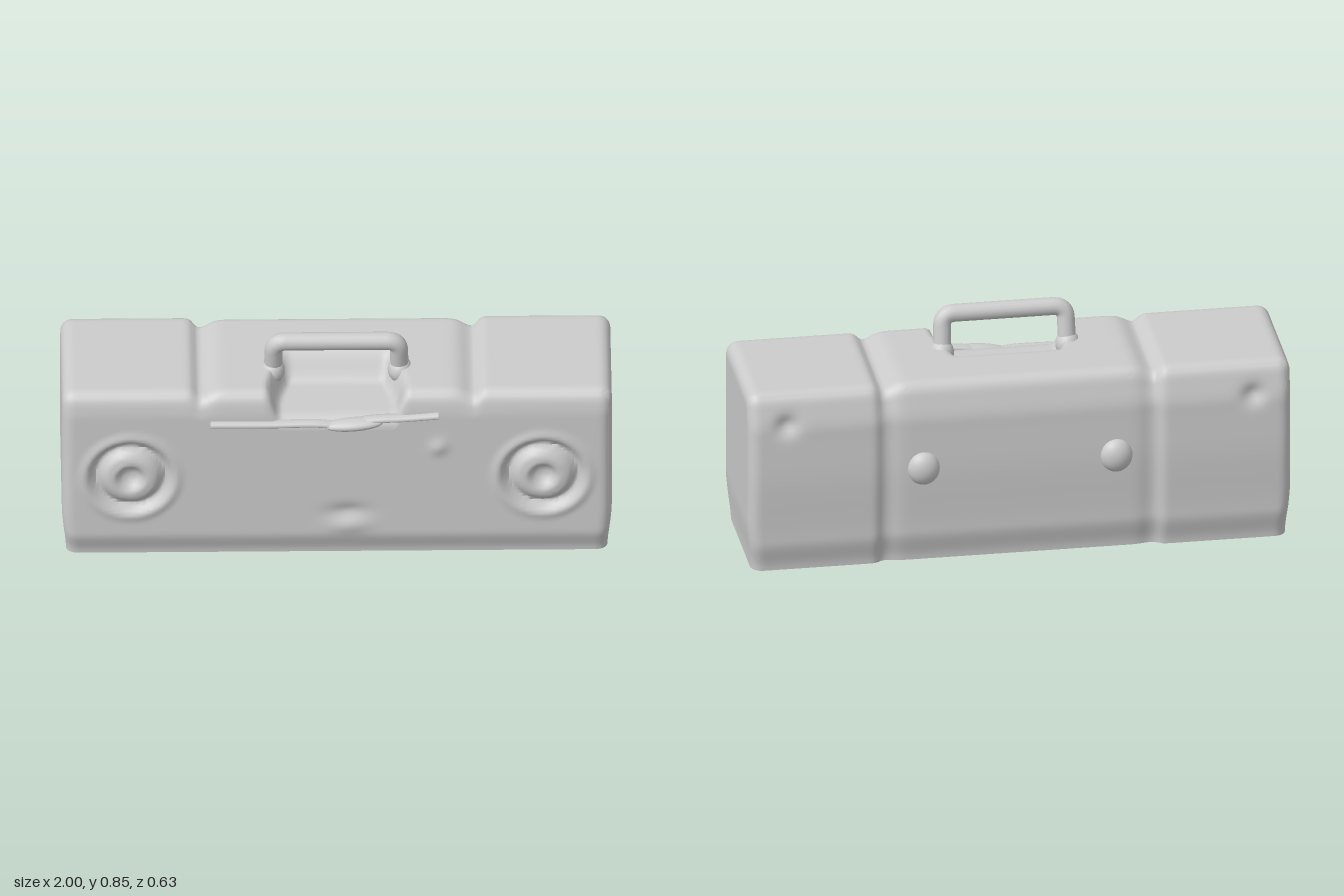
import * as THREE from 'three';
import { mergeVertices, toCreasedNormals } from 'three/addons/utils/BufferGeometryUtils.js';

const material = new THREE.MeshStandardMaterial({ color: 0xcccccc });
const { smoothstep, clamp, lerp } = THREE.MathUtils;
const bump = (d, w) => Math.exp(-((d / w) ** 2));

// Piecewise smooth interpolation through [position, value] pairs
function profile(points, t) {
  for (let i = 1; i < points.length; i++) {
    const [a, va] = points[i - 1], [b, vb] = points[i];
    if (t <= b) return lerp(va, vb, smoothstep(t, a, b));
  }
  return points[points.length - 1][1];
}

// Radius to depth of the moulded speaker cones
const speakerRelief = [[0, -0.028], [0.022, -0.022], [0.06, 0.012], [0.085, 0.008],
  [0.125, -0.026], [0.165, 0.008], [0.2, 0]];
// Height to half depth, front and back
const frontDepth = [[0, 0.25], [0.1, 0.277], [0.6, 0.274], [0.7, 0.262]];
const backDepth = [[0, 0.26], [0.12, 0.284], [0.38, 0.293], [0.55, 0.29], [0.7, 0.262]];

function add(group, name, geometry) {
  const mesh = new THREE.Mesh(geometry, material);
  mesh.name = name;
  group.add(mesh);
  return mesh;
}

// Soft moulded case: a rounded box with speakers, grooves and a handle recess pressed in
function bodyGeometry() {
  const H = 0.7, D = 0.28, R = 0.045;
  const g = new THREE.BoxGeometry(2, H, 2 * D, 160, 50, 42);
  g.translate(0, H / 2, 0);
  const pos = g.attributes.position;
  const p = new THREE.Vector3(), c = new THREE.Vector3();
  for (let i = 0; i < pos.count; i++) {
    p.fromBufferAttribute(pos, i);
    const onFront = p.z > D - 0.001, onBack = p.z < -D + 0.001;
    // round every edge except those of the flat base
    c.set(clamp(p.x, -1 + R, 1 - R), Math.min(p.y, H - R), clamp(p.z, -D + R, D - R));
    p.sub(c);
    if (p.lengthSq() > 0) p.setLength(Math.min(R, p.length()));
    p.add(c);
    p.z *= profile(p.z > 0 ? frontDepth : backDepth, p.y) / D;
    p.x *= 0.985 + 0.015 * smoothstep(p.y, 0, 0.2);

    const ax = Math.abs(p.x);
    // seams between the middle and the two ends, sharp outside and gentle inside
    const seam = ax > 0.5 ? bump(ax - 0.5, 0.022) : bump(ax - 0.5, 0.045);
    p.y -= 0.028 * seam * smoothstep(p.y, 0.55, 0.7);
    if (p.z < 0) {
      const middle = 1 - smoothstep(ax, 0.46, 0.54);
      p.z += (0.014 * seam + 0.012 * middle) * smoothstep(-p.z, 0.1, 0.27);
    }
    if (onFront) {
      p.z += profile(speakerRelief, Math.hypot(ax - 0.75, p.y - 0.345));
      p.z += 0.012 * bump(p.x - 0.37, 0.03) * bump(p.y - 0.47, 0.03);
      p.z -= 0.014 * bump(p.x - 0.04, 0.07) * bump(p.y - 0.19, 0.03);
      p.z += 0.01 * bump(p.x - 0.04, 0.07) * bump(p.y - 0.13, 0.03);
    }
    if (onBack) p.z += 0.025 * bump(ax - 0.86, 0.04) * bump(p.y - 0.58, 0.035);

    // recess below the handle, open to the front and widening towards it
    const width = lerp(0.19, 0.23, smoothstep(p.z, 0, 0.2));
    const recess = smoothstep(p.z, -0.04, 0.055) * (1 - smoothstep(ax, width - 0.025, width + 0.03));
    if (p.y > 0.5) p.y -= (p.y - 0.5) * 0.5 * recess;
    pos.setXYZ(i, p.x, p.y, p.z);
  }
  g.deleteAttribute('uv');
  g.deleteAttribute('normal');
  return toCreasedNormals(mergeVertices(g, 1e-5), 1.0);
}

// Carrying handle: one bar with two tapering legs, leaning forwards
function handleGeometry() {
  const path = new THREE.CurvePath();
  const v = (x, y) => new THREE.Vector3(x, y, 0.07 + (y - 0.7) * 0.2);
  const leg = [v(-0.232, 0.58), v(-0.228, 0.77)];
  path.add(new THREE.LineCurve3(leg[0], leg[1]));
  path.add(new THREE.QuadraticBezierCurve3(leg[1], v(-0.228, 0.816), v(-0.18, 0.816)));
  path.add(new THREE.LineCurve3(v(-0.18, 0.816), v(0.18, 0.816)));
  path.add(new THREE.QuadraticBezierCurve3(v(0.18, 0.816), v(0.228, 0.816), v(0.228, 0.77)));
  path.add(new THREE.LineCurve3(v(0.228, 0.77), v(0.232, 0.58)));
  return new THREE.TubeGeometry(path, 90, 0.033, 16);
}

export function createModel() {
  const model = new THREE.Group();
  model.name = 'portableStereo';

  add(model, 'body', bodyGeometry());
  add(model, 'handle', handleGeometry());

  for (const side of [-1, 1]) {
    // Flared sockets where the handle meets the case
    const socket = add(model, 'handleSocket', new THREE.SphereGeometry(1, 20, 14));
    socket.scale.set(0.045, 0.05, 0.05);
    socket.position.set(side * 0.232, 0.675, 0.068);

    // Rounded knobs on the back
    const knob = add(model, 'backKnob', new THREE.SphereGeometry(1, 24, 16));
    knob.scale.set(0.06, 0.065, 0.045);
    knob.position.set(side * 0.355, 0.375, -0.274);
  }

  // Thin uneven lip along the front of the recess
  const lipCurve = new THREE.CatmullRomCurve3([
    [-0.46, 0.577], [-0.25, 0.576], [-0.08, 0.578], [0.02, 0.572], [0.12, 0.592], [0.25, 0.6], [0.37, 0.61],
  ].map(([x, y]) => new THREE.Vector3(x, y, 0)));
  const lip = add(model, 'frontLip', new THREE.TubeGeometry(lipCurve, 60, 0.012, 10));
  lip.scale.z = 2;
  lip.position.z = 0.272;

  // Latch pouch hanging from the lip
  const latch = add(model, 'latch', new THREE.SphereGeometry(1, 24, 14));
  latch.scale.set(0.11, 0.022, 0.035);
  latch.position.set(0.06, 0.576, 0.278);
  latch.rotation.z = 0.08;

  return model;
}
